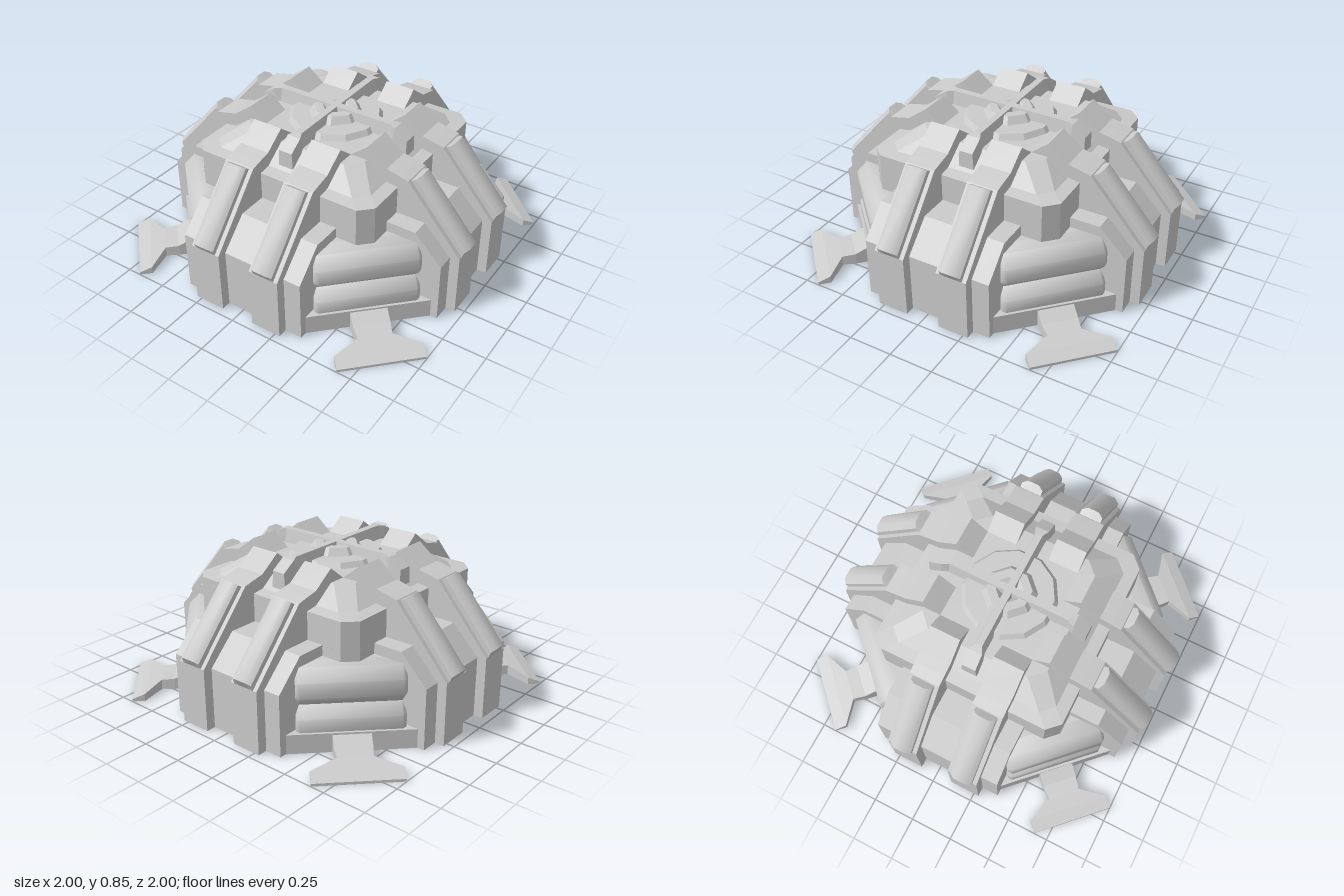
import * as THREE from 'three';
import { toCreasedNormals } from 'three/addons/utils/BufferGeometryUtils.js';

const material = new THREE.MeshStandardMaterial({ color: 0xcccccc, side: THREE.DoubleSide });

// Skin of quads through rows of points; rows run upward, points run left to right seen from outside.
function skin(name, rows, { closed = false, crease = 0 } = {}) {
  const pos = [];
  const n = rows[0].length;
  for (let i = 0; i < rows.length - 1; i++) {
    for (let j = 0; j < (closed ? n : n - 1); j++) {
      const k = (j + 1) % n;
      const [a, b, c, d] = [rows[i][j], rows[i][k], rows[i + 1][k], rows[i + 1][j]];
      pos.push(...a, ...b, ...c, ...a, ...c, ...d);
    }
  }
  let geo = new THREE.BufferGeometry();
  geo.setAttribute('position', new THREE.Float32BufferAttribute(pos, 3));
  geo.computeVertexNormals();
  if (crease) geo = toCreasedNormals(geo, crease);
  return named(name, new THREE.Mesh(geo, material));
}

function named(name, object) {
  object.name = name;
  return object;
}

// Square ring with cut corners
function ring(h, c, y) {
  const k = h - c;
  return [[-k, h], [k, h], [h, k], [h, -k], [k, -h], [-k, -h], [-h, -k], [-h, k]]
    .map(([x, z]) => [x, y, z]);
}

// Faceted revolved part
function turned(name, profile, sides, phase) {
  const geo = new THREE.LatheGeometry(profile.map(p => new THREE.Vector2(...p)), sides, phase).toNonIndexed();
  geo.computeVertexNormals();
  return named(name, new THREE.Mesh(geo, material));
}

// Side profiles as [z, y]; the rib's inner line follows the panels and roof it stands on
const PANEL = [[0.9, 0], [0.9, 0.35], [0.74, 0.51], [0.57, 0.51]];
const RIB = [[0.955, 0], [0.955, 0.36], [0.8, 0.536], [0.63, 0.73], [0.57, 0.745], [0.5, 0.76], [0.38, 0.85], [0.28, 0.77]];
const RIB_INNER = [...PANEL, [0.57, 0.67], [0.5, 0.68], [0.38, 0.77], [0.28, 0.77]];

// Faceted round cap lying on the slope of a rib
function ribCap(x) {
  const along = new THREE.Vector2(RIB[3][0] - RIB[1][0], RIB[3][1] - RIB[1][1]).normalize();
  const section = [[-0.065, 0], [-0.065, 0.028], [-0.034, 0.052], [0.034, 0.052], [0.065, 0.028], [0.065, 0]];
  const rows = [[0, 0], [0.015, 1], [0.478, 1], [0.485, 0]].map(([s, height]) =>
    section.map(([u, h]) => [x + u,
      RIB[1][1] + along.y * s - along.x * h * height,
      RIB[1][0] + along.x * s + along.y * h * height]));
  return skin('ribCap', rows, { crease: 0.9 });
}

// One of the four straight sides
function makeSide() {
  const side = named('side', new THREE.Group());
  const panel = (name, x0, x1) => skin(name, PANEL.map(([z, y]) => [[x0, y, z], [x1, y, z]]));
  side.add(panel('centrePanel', -0.1, 0.1));
  for (const s of [-1, 1]) {
    const mid = s * 0.19, edge = s * 0.33;
    side.add(panel('outerPanel', edge - 0.05, edge + 0.05));
    // End wall beside the corner recess
    side.add(skin('endWall', PANEL.map(([z, y]) => {
      const row = [[s * 0.38, y, z], [s * 0.38, y, 0.57]];
      return s > 0 ? row : row.reverse();
    })));
    side.add(skin('rib', RIB.map(([z, y], i) => {
      const [iz, iy] = RIB_INNER[i];
      const [x0, x1] = [mid - 0.09, mid + 0.09];
      return [[x0, iy, iz], [x0, y, z], [x1, y, z], [x1, iy, iz]];
    })));
    side.add(ribCap(mid));
  }
  // Roof beam with its bent, wider end
  const section = (z, w, top, y0, y1) => [[-w, y0, z], [w, y0, z], [top, y1, z], [-top, y1, z]];
  side.add(skin('roofBeam', [
    section(0, 0.036, 0.02, 0.77, 0.85), section(0.36, 0.036, 0.02, 0.77, 0.85),
    section(0.4, 0.046, 0.04, 0.75, 0.845), section(0.48, 0.046, 0.04, 0.69, 0.79),
    section(0.48, 0, 0, 0.73, 0.73),
  ], { closed: true }));
  return side;
}

// One of the four diagonal corners, built facing +z
function makeCorner() {
  const corner = named('corner', new THREE.Group());
  const column = y => [[-0.134, y, 0.672], [-0.05, y, 0.757], [0.05, y, 0.757], [0.134, y, 0.672]];
  corner.add(skin('cornerColumn', [column(0), column(0.51)]));
  corner.add(skin('cornerRoof', [[-0.255, -0.05, 0.05, 0.255].map(x => [x, 0.45, 0.79]), column(0.45)]));

  // Low lip around the foot of the wall
  corner.add(skin('baseLip', [[0, 0.877], [0.11, 0.877], [0.11, 0.757]]
    .map(([y, z]) => [[-0.338, y, z], [0.338, y, z]])));

  // Two stacked octagonal tanks, open at the back where they meet the wall
  const profile = [[0, -0.285], [0.092, -0.285], [0.1137, -0.265], [0.1137, 0.265], [0.092, 0.285], [0, 0.285]];
  const tankGeo = toCreasedNormals(new THREE.LatheGeometry(
    profile.map(p => new THREE.Vector2(...p)), 5, -Math.PI * 0.625, Math.PI * 1.25), 0.85);
  for (const y of [0.14, 0.345]) {
    const tank = named('tank', new THREE.Mesh(tankGeo, material));
    tank.rotation.z = Math.PI / 2;
    tank.position.set(0, y, 0.757);
    corner.add(tank);
  }

  // Outrigger foot, sloping down to a wide toe
  const rows = [[0.86, 0.1, 0.108], [0.95, 0.1, 0.065], [1.025, 0.092, 0.058], [1.11, 0.233, 0.042],
    [1.18, 0.233, 0.015], [1.18, 0, 0]]
    .map(([z, w, y]) => [[-w, 0, z], [w, 0, z], [w, y, z], [-w, y, z]]);
  corner.add(skin('foot', rows, { closed: true }));
  return corner;
}

export function createModel() {
  const model = named('domeBunker', new THREE.Group());

  // Upper block and roof
  model.add(skin('upperBlock', [
    ring(0.57, 0.07, 0.51), ring(0.57, 0.07, 0.67), ring(0.5, 0.07, 0.68),
    ring(0.38, 0.08, 0.77), ring(0, 0, 0.77),
  ], { closed: true }));
  model.add(turned('roofDisc', [[0.275, 0.765], [0.25, 0.8], [0, 0.8]], 12, Math.PI / 12));
  model.add(turned('hub', [[0.16, 0.795], [0.125, 0.84], [0.075, 0.84], [0.04, 0.805]], 8, Math.PI / 8));

  // Four sides and four corners around the centre
  const side = makeSide();
  const corner = makeCorner();
  for (let i = 0; i < 4; i++) {
    const s = side.clone();
    s.rotation.y = i * Math.PI / 2;
    const c = corner.clone();
    c.rotation.y = Math.PI / 4 + i * Math.PI / 2;
    model.add(s, c);
  }
  return model;
}
